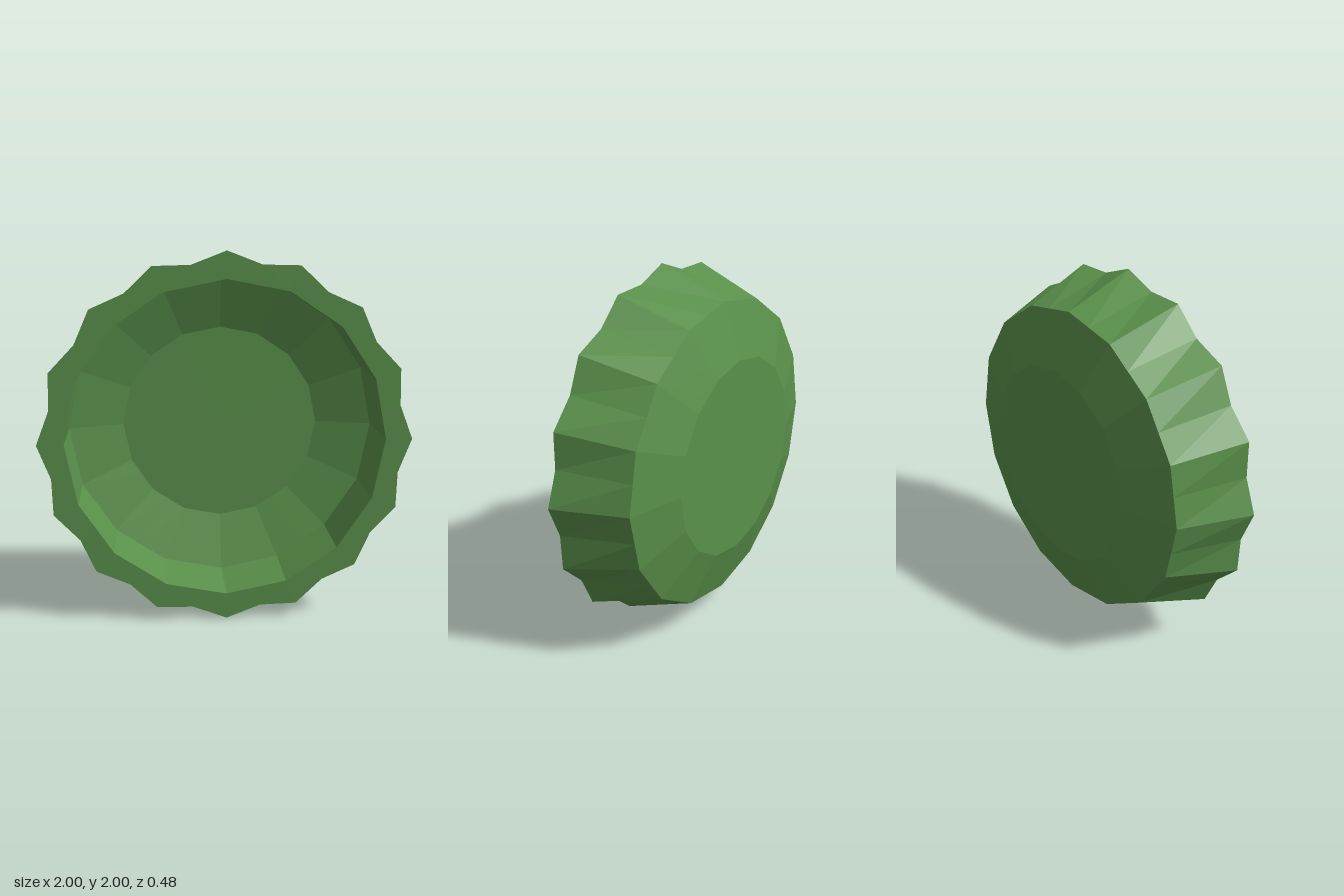
import * as THREE from 'three';

const FLUTES = 16;
const STEPS = FLUTES * 2;

// Ring of points round the z axis; odd points sit at the valley radius,
// which defaults to the middle of a straight edge of a 16-sided polygon
function ring(radius, z, valley = radius * Math.cos(Math.PI / FLUTES)) {
  return Array.from({ length: STEPS }, (_, i) => {
    const a = (i / STEPS) * Math.PI * 2;
    const r = i % 2 ? valley : radius;
    return [Math.cos(a) * r, 1 + Math.sin(a) * r, z];
  });
}

// Flat-shaded skin over a series of rings, facing outward when run front to back
function loft(name, rings, material) {
  const positions = [];
  for (let k = 0; k + 1 < rings.length; k++) {
    const a = rings[k], b = rings[k + 1];
    for (let i = 0; i < STEPS; i++) {
      const j = (i + 1) % STEPS;
      positions.push(...a[i], ...b[i], ...b[j]);
      if (k + 2 < rings.length || b[0][0] !== b[j][0] || a[i] !== b[i]) {
        positions.push(...a[i], ...b[j], ...a[j]);
      }
    }
  }
  const geometry = new THREE.BufferGeometry();
  geometry.setAttribute('position', new THREE.Float32BufferAttribute(positions, 3));
  geometry.computeVertexNormals();
  const mesh = new THREE.Mesh(geometry, material);
  mesh.name = name;
  return mesh;
}

export function createModel() {
  const group = new THREE.Group();
  group.name = 'bottleCap';
  const green = new THREE.MeshStandardMaterial({
    color: 0x5a914b, flatShading: true, side: THREE.DoubleSide,
  });

  const lip = ring(1, 0.24, 0.947);
  const innerLip = ring(0.857, 0.24);
  const shoulder = ring(0.857, -0.147);
  const crownEdge = ring(0.555, -0.24);

  // Crimped skirt, flat lip and straight inner wall
  group.add(loft('flutedSkirt', [lip, shoulder], green));
  group.add(loft('lip', [innerLip, lip], green));
  group.add(loft('innerWall', [shoulder, innerLip], green));

  // Thin crown: sloping shoulder and flat disc, seen from both sides
  group.add(loft('shoulder', [shoulder, crownEdge], green));
  const disc = new THREE.Mesh(new THREE.CircleGeometry(0.555, FLUTES), green);
  disc.name = 'crown';
  disc.position.set(0, 1, -0.24);
  disc.rotation.y = Math.PI;
  group.add(disc);

  return group;
}
